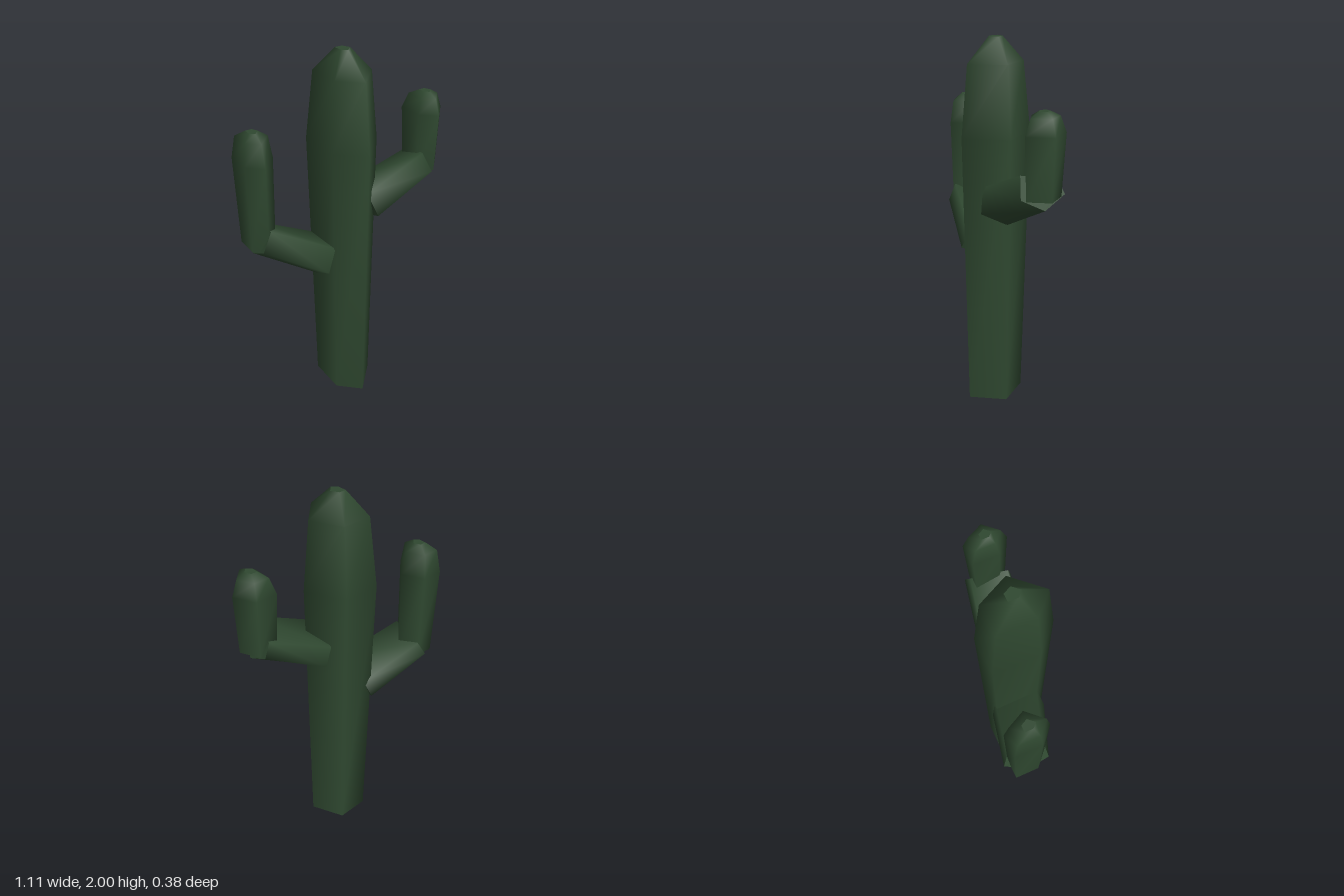
import * as THREE from 'three';

// Uneven five-sided outline [x, z] shared by the trunk and the arm tips
const OUTLINE = [[0.175, -0.02], [0.047, 0.19], [-0.11, 0.095], [-0.16, -0.147], [0.037, -0.195]];

// One horizontal outline ring
const ring = (x, y, z, s) => OUTLINE.map(([px, pz]) => [x + px * s, y, z + pz * s]);

// Smooth skin through the rings, with separate flat end caps
function loft(name, rings, material) {
  const n = rings[0].length;
  const last = rings.length - 1;
  const points = [...rings.flat(), ...rings[0], ...rings[last]];
  const index = [];
  for (let r = 0; r < last; r++) {
    for (let i = 0; i < n; i++) {
      const a = r * n + i, b = r * n + (i + 1) % n;
      index.push(a, a + n, b, b, a + n, b + n);
    }
  }
  const start = rings.length * n, end = start + n;
  for (let i = 1; i < n - 1; i++) {
    index.push(start, start + i, start + i + 1, end, end + i + 1, end + i);
  }
  const geometry = new THREE.BufferGeometry();
  geometry.setAttribute('position', new THREE.Float32BufferAttribute(points.flat(), 3));
  geometry.setIndex(index);
  geometry.computeVertexNormals();
  const mesh = new THREE.Mesh(geometry, material);
  mesh.name = name;
  return mesh;
}

// Sloping branch cross-sections, from the trunk outwards
const BRANCH = [
  [[0.158, 1.07, -0.01], [0.13, 1.14, 0.123], [0.08, 1.265, 0.09], [0.09, 1.235, -0.14], [0.13, 1.14, -0.163]],
  [[0.487, 1.25, -0.05], [0.46, 1.31, 0.065], [0.41, 1.415, 0.045], [0.425, 1.375, -0.145], [0.46, 1.31, -0.17]],
];

export function createModel() {
  const model = new THREE.Group();
  model.name = 'cactus';
  const green = new THREE.MeshStandardMaterial({ color: 0x2f4830 });
  green.name = 'cactus green';

  // Trunk
  model.add(loft('trunk', [
    ring(0, 0, 0, 0.85),
    ring(0, 1.52, 0, 1),
    ring(0, 1.88, 0, 0.8),
    ring(-0.008, 2, -0.015, 0.2),
  ], green));

  // Left arm
  const leftArm = new THREE.Group();
  leftArm.name = 'leftArm';
  leftArm.add(loft('leftBranch', BRANCH, green));
  leftArm.add(loft('leftTip', [[1.305, 0.87], [1.615, 1], [1.695, 0.72], [1.72, 0.28]]
    .map(([y, s]) => ring(0.455, y, -0.047, s * 0.565)), green));

  // Right arm: mirrored branch set lower, with a taller tip
  const rightArm = new THREE.Group();
  rightArm.name = 'rightArm';
  const mirrored = BRANCH.map((section) => section
    .map(([x, y, z]) => [-x - 0.015, y - 0.29, z]).reverse());
  rightArm.add(loft('rightBranch', mirrored, green));
  rightArm.add(loft('rightTip', [[1, 0.88], [1.485, 1], [1.605, 0.8], [1.64, 0.3]]
    .map(([y, s]) => ring(-0.463, y, -0.047, s * 0.565)), green));

  model.add(leftArm, rightArm);
  return model;
}
